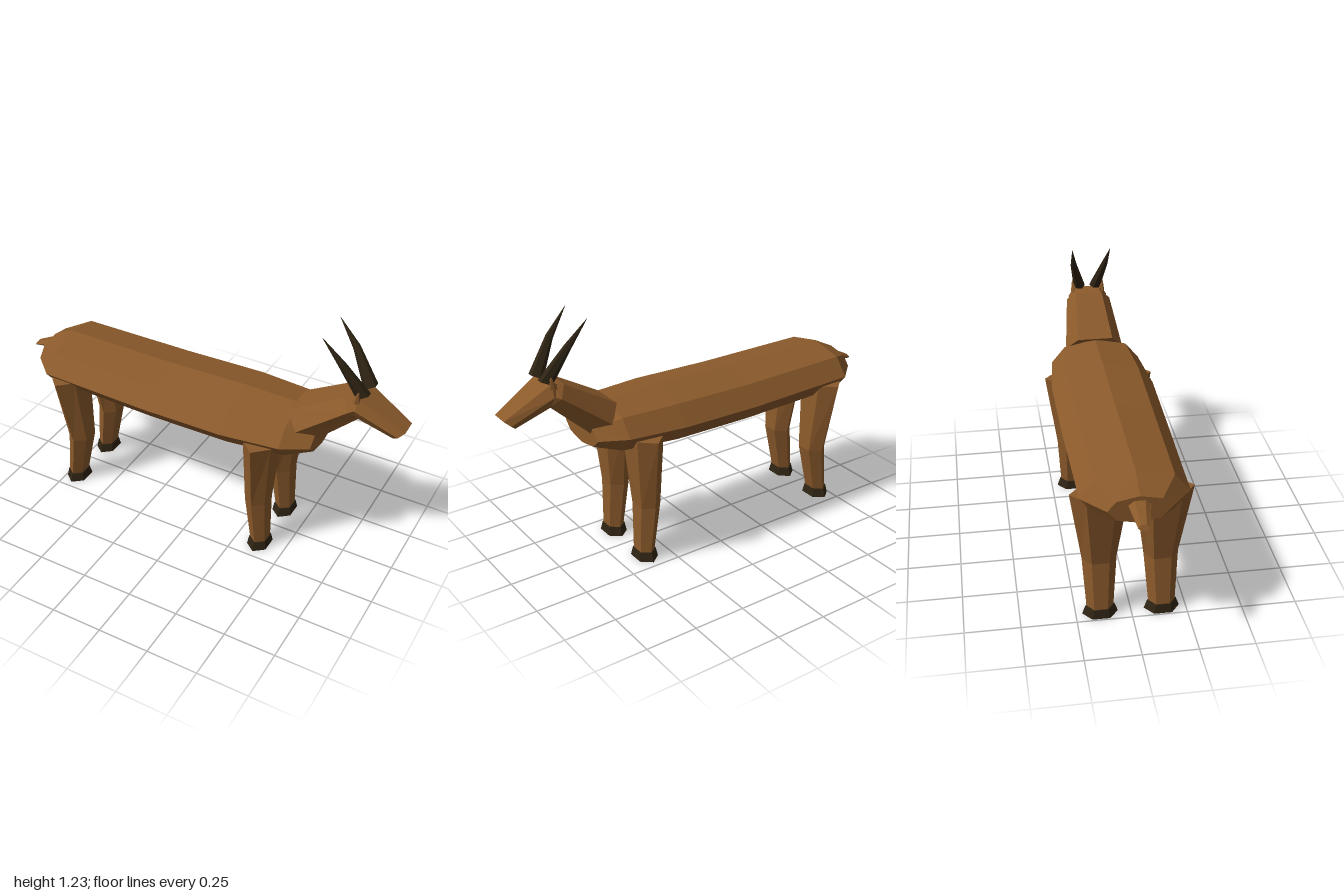
import * as THREE from 'three';

// Cross-section profiles as [along u, along z], ordered from u towards z
const OCT = Array.from({ length: 8 }, (_, i) => [Math.cos(i * Math.PI / 4), Math.sin(i * Math.PI / 4)]);
const hex = (f) => [[1, f], [0, 1], [-1, f], [-1, -f], [0, -1], [1, -f]];

// Skins rings [x, y, z, ux, uy, halfWidth]; (ux, uy) is the half-thickness vector
function loft(name, profile, rings, material) {
  const pts = rings.map(([x, y, z, ux, uy, w]) =>
    profile.map(([a, b]) => [x + ux * a, y + uy * a, z + w * b]));
  const n = profile.length;
  const pos = [];
  const tri = (a, b, c) => pos.push(...a, ...b, ...c);
  for (let i = 0; i < pts.length - 1; i++) {
    for (let j = 0; j < n; j++) {
      const k = (j + 1) % n;
      tri(pts[i][j], pts[i][k], pts[i + 1][k]);
      tri(pts[i][j], pts[i + 1][k], pts[i + 1][j]);
    }
  }
  const first = pts[0], last = pts[pts.length - 1];
  for (let j = 1; j < n - 1; j++) {
    tri(first[0], first[j + 1], first[j]);
    tri(last[0], last[j], last[j + 1]);
  }
  const geo = new THREE.BufferGeometry();
  geo.setAttribute('position', new THREE.Float32BufferAttribute(pos, 3));
  geo.computeVertexNormals();
  const mesh = new THREE.Mesh(geo, material);
  mesh.name = name;
  return mesh;
}

export function createModel() {
  const model = new THREE.Group();
  model.name = 'antelope';
  const coat = new THREE.MeshStandardMaterial({ name: 'brown coat', color: 0x8b5a2b });
  const horn = new THREE.MeshStandardMaterial({ name: 'dark horn', color: 0x2f2414 });
  coat.flatShading = horn.flatShading = true;
  const add = (...args) => model.add(loft(...args));

  // Body
  add('body', OCT, [
    [-0.88, 0.670, 0, 0, 0.065, 0.135],
    [-0.77, 0.670, 0, 0, 0.120, 0.235],
    [-0.20, 0.663, 0, 0, 0.123, 0.247],
    [0.20, 0.670, 0, 0, 0.125, 0.250],
    [0.48, 0.677, 0, 0, 0.113, 0.222],
    [0.60, 0.670, 0, 0, 0.060, 0.145],
  ], coat);

  // Neck
  add('neck', hex(0.6), [
    [0.52, 0.732, 0, -0.056, 0.068, 0.145],
    [0.747, 0.902, 0, -0.037, 0.045, 0.112],
    [0.785, 0.915, 0, -0.02, 0.045, 0.085],
  ], coat);

  // Head, with a slanted muzzle end
  add('head', hex(0.7), [
    [0.735, 0.915, 0, -0.005, 0.035, 0.08],
    [0.775, 0.910, 0, -0.005, 0.053, 0.1],
    [0.965, 0.812, 0, 0.025, 0.023, 0.06],
  ], coat);

  // Tail
  add('tail', hex(0.5), [
    [-0.86, 0.700, 0, -0.012, -0.028, 0.052],
    [-0.99, 0.655, 0, -0.006, -0.012, 0.025],
  ], coat);

  for (const s of [1, -1]) {
    const side = s > 0 ? 'left' : 'right';
    // Horns, sweeping back and outwards
    add(side + 'Horn', hex(0.5), [
      [0.785, 0.965, s * 0.042, -0.028, -0.012, 0.03],
      [0.692, 1.115, s * 0.079, -0.012, -0.010, 0.016],
      [0.600, 1.230, s * 0.095, -0.0005, -0.0005, 0.0005],
    ], horn);
    // Ears
    add(side + 'Ear', hex(0.5), [
      [0.765, 0.94, s * 0.07, -0.018, 0, 0.018],
      [0.775, 0.995, s * 0.077, -0.003, 0, 0.004],
    ].reverse().map(([x, y, z, ux, uy, w]) => [x, y, z, -ux, uy, w]), coat);

    // Legs and hooves: top, knee and ankle positions along x
    for (const [pos, top, knee, ankle] of [['front', 0.365, 0.352, 0.37], ['back', -0.695, -0.657, -0.693]]) {
      const part = pos + (s > 0 ? 'Left' : 'Right');
      add(part + 'Leg', hex(0.5), [
        [top, 0.645, s * 0.14, 0.07, 0, 0.13],
        [knee, 0.28, s * 0.138, 0.052, 0, 0.078],
        [ankle, 0.04, s * 0.14, 0.039, 0, 0.061],
      ], coat);
      add(part + 'Hoof', hex(0.5), [
        [ankle, 0.043, s * 0.14, 0.043, 0, 0.066],
        [ankle, 0, s * 0.14, 0.05, 0, 0.081],
      ], horn);
    }
  }
  return model;
}
